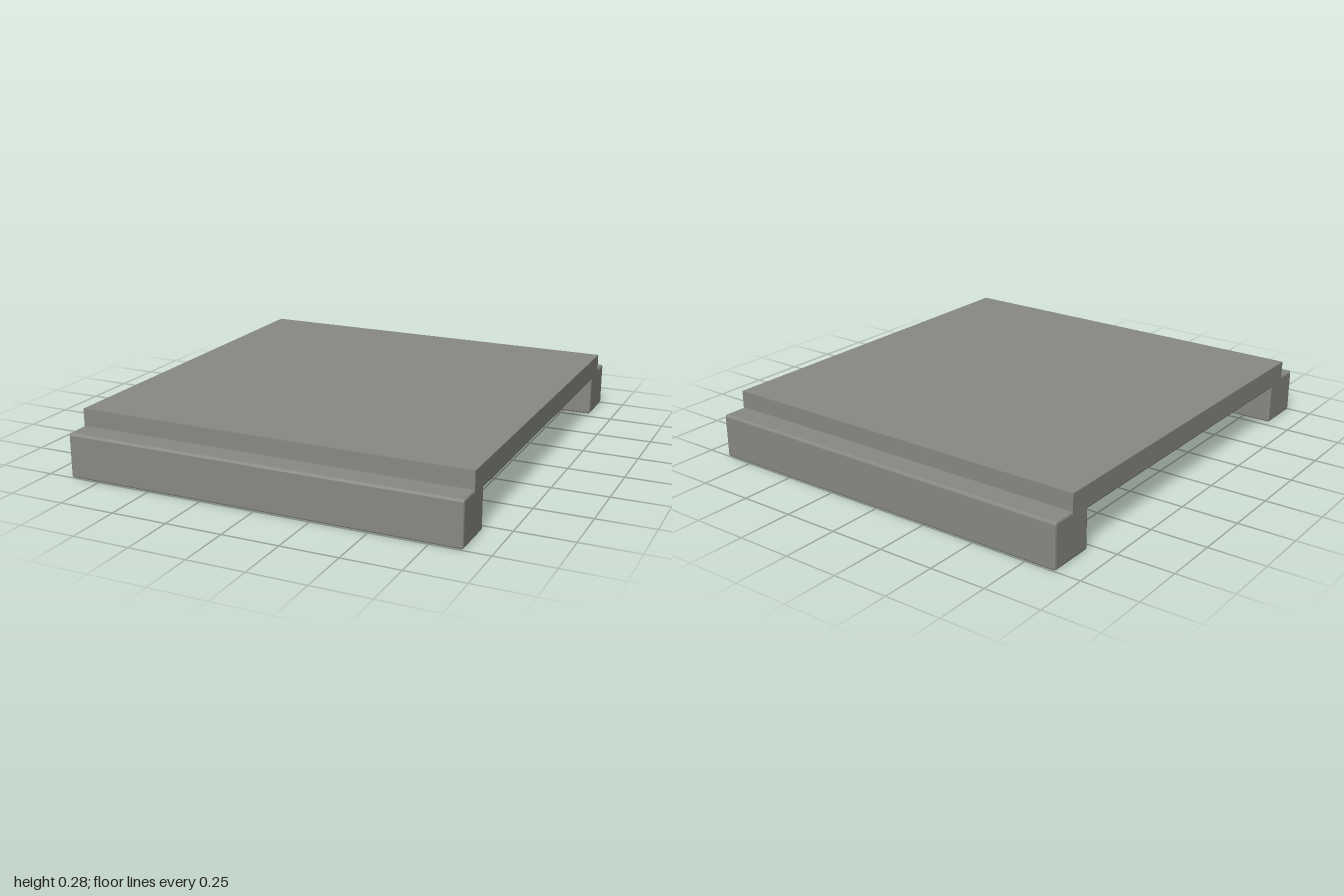
import * as THREE from 'three';
import { RoundedBoxGeometry } from 'three/addons/geometries/RoundedBoxGeometry.js';

export function createModel() {
  const group = new THREE.Group();
  const stone = new THREE.MeshStandardMaterial({ color: 0x8a8a84, flatShading: true });
  stone.name = 'grey stone';

  const add = (name, geometry, x, y, z) => {
    const mesh = new THREE.Mesh(geometry, stone);
    mesh.name = name;
    mesh.position.set(x, y, z);
    group.add(mesh);
  };
  // Box with a narrow chamfer on every edge
  const chamferedBox = (w, h, d, r) => new RoundedBoxGeometry(w, h, d, 1, r);

  // Flat deck with sharp edges, resting on the beams
  add('deckSlab', new THREE.BoxGeometry(1.776, 0.092, 1.776), 0, 0.231, 0);

  // Support beams along the front and back
  for (const [name, side] of [['frontBeam', 1], ['backBeam', -1]]) {
    add(name, chamferedBox(1.774, 0.2, 0.216, 0.009), 0, 0.1, side * 0.892);
  }

  // Chamfered planks under the deck, running from beam to beam
  const count = 6;
  const width = 1.774 / count;
  for (let i = 0; i < count; i++) {
    const x = (i - (count - 1) / 2) * width;
    add('undersidePlank' + (i + 1), chamferedBox(width, 0.04, 1.62, 0.008), x, 0.194, 0);
  }
  return group;
}
